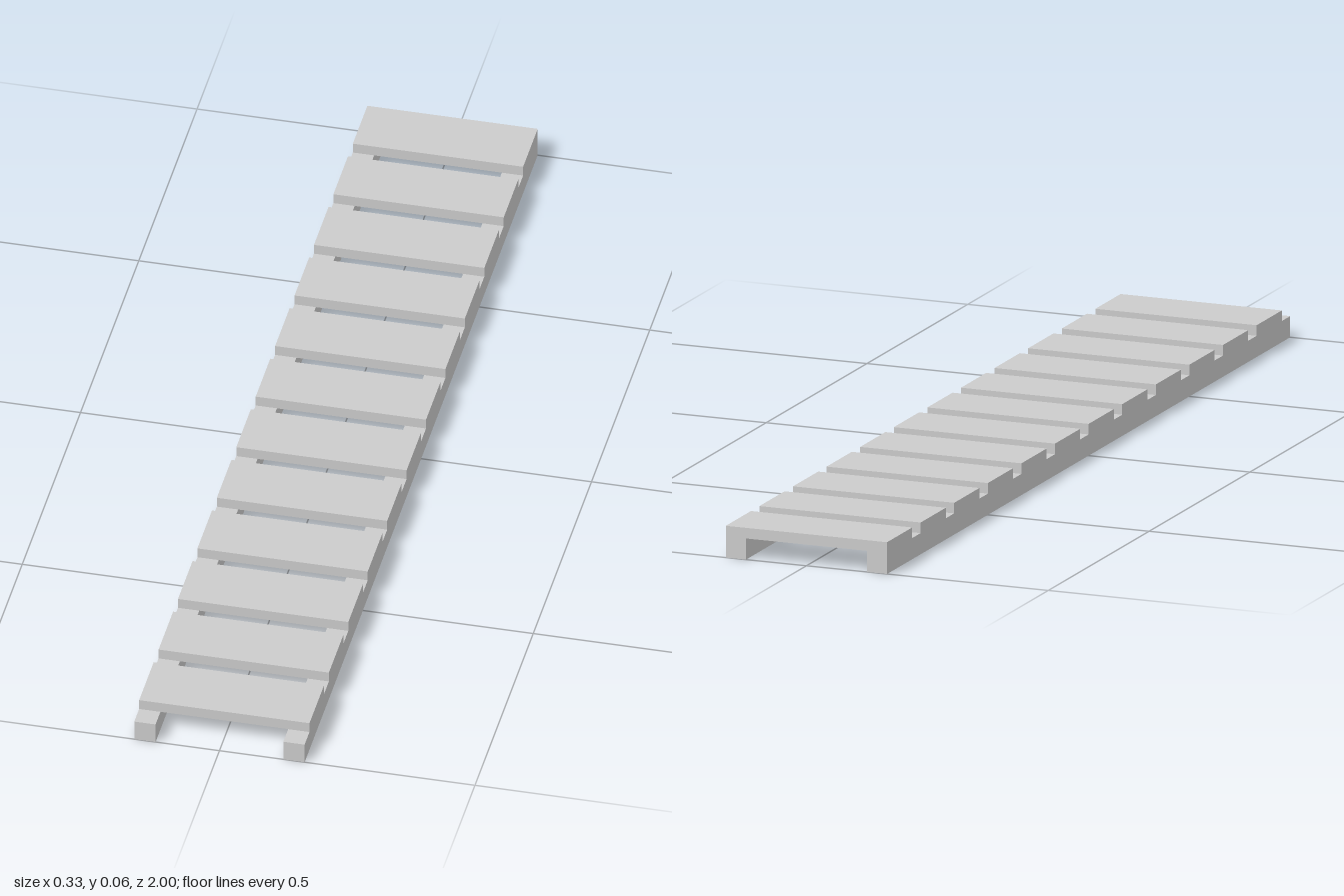
import * as THREE from 'three';

export function createModel() {
  const group = new THREE.Group();
  const material = new THREE.MeshStandardMaterial({ color: 0xcccccc, flatShading: true });

  const length = 2, width = 1 / 3;
  const railSize = 1 / 24;
  const plankCount = 12, plankDepth = 0.125, plankHeight = 1 / 48;
  const pitch = length / plankCount;

  function addBox(name, w, h, d, x, y, z) {
    const mesh = new THREE.Mesh(new THREE.BoxGeometry(w, h, d), material);
    mesh.name = name;
    mesh.position.set(x, y, z);
    group.add(mesh);
  }

  // Two long rails resting on the ground
  for (const [name, side] of [['leftRail', 1], ['rightRail', -1]]) {
    addBox(name, railSize, railSize, length, side * (width - railSize) / 2, railSize / 2, 0);
  }

  // Planks across the rails, flush at the back with a gap after each
  for (let i = 0; i < plankCount; i++) {
    const z = -length / 2 + i * pitch + plankDepth / 2;
    addBox(`plank${i + 1}`, width, plankHeight, plankDepth, 0, railSize + plankHeight / 2, z);
  }

  return group;
}
